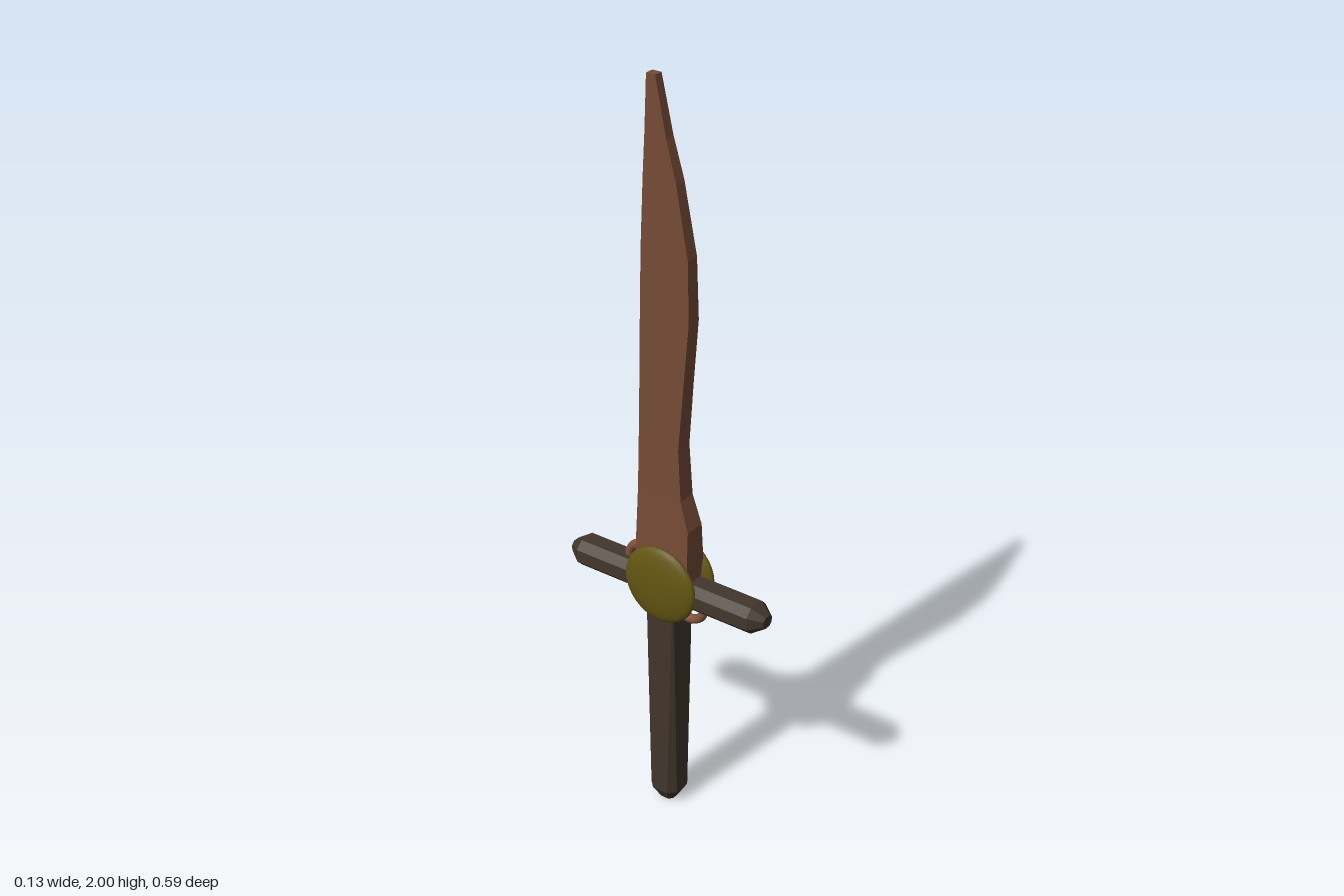
import * as THREE from 'three';

const material = (name, color, flatShading = true) => {
  const m = new THREE.MeshStandardMaterial({ color, flatShading });
  m.name = name;
  return m;
};

// Skins a stack of rings ({ y, ring: [[x, z], ...] }) and caps both ends.
function loft(sections) {
  const pos = [];
  const rings = sections.map(({ y, ring }) => ring.map(([x, z]) => [x, y, z]));
  const tri = (...pts) => pts.forEach((p) => pos.push(...p));
  const n = rings[0].length;
  for (let s = 0; s < rings.length - 1; s++) {
    for (let i = 0; i < n; i++) {
      const j = (i + 1) % n;
      const [a, b, c, d] = [rings[s][i], rings[s][j], rings[s + 1][j], rings[s + 1][i]];
      tri(a, b, c);
      tri(a, c, d);
    }
  }
  const bottom = rings[0], top = rings[rings.length - 1];
  for (let i = 1; i < n - 1; i++) {
    tri(bottom[0], bottom[i + 1], bottom[i]);
    tri(top[0], top[i], top[i + 1]);
  }
  const geo = new THREE.BufferGeometry();
  geo.setAttribute('position', new THREE.Float32BufferAttribute(pos, 3));
  geo.computeVertexNormals();
  return geo;
}

// Rectangle with its four corners cut off by c.
const chamfered = (hx, hz, c) => [
  [-hx + c, hz], [hx - c, hz], [hx, hz - c], [hx, -hz + c],
  [hx - c, -hz], [-hx + c, -hz], [-hx, -hz + c], [-hx, hz - c],
];

export function createModel() {
  const group = new THREE.Group();
  const copper = material('copper', 0x754a36);
  const wood = material('dark wood', 0x42362c);
  const brass = material('aged brass', 0x635512, false);
  const wire = material('copper wire', 0x80523c, false);

  const add = (name, geo, mat) => {
    const mesh = new THREE.Mesh(geo, mat);
    mesh.name = name;
    group.add(mesh);
    return mesh;
  };

  // Blade: height, front edge z, back edge z, half thickness
  const blade = [
    [0.69, 0.08, -0.08, 0.039],
    [0.86, 0.077, -0.078, 0.029],
    [0.94, 0.052, -0.077, 0.025],
    [1.08, 0.043, -0.075, 0.023],
    [1.25, 0.056, -0.073, 0.021],
    [1.42, 0.07, -0.071, 0.02],
    [1.58, 0.065, -0.069, 0.018],
    [1.76, 0.03, -0.063, 0.016],
    [1.86, 0.001, -0.059, 0.014],
    [2.0, -0.03, -0.055, 0.012],
  ];
  add('blade', loft(blade.map(([y, f, b, t]) => ({
    y, ring: [[-t, f], [t, f], [t, b], [-t, b]],
  }))), copper);

  // Grip: nearly square at the guard, eight-sided at the pommel
  add('grip', loft([
    { y: 0, ring: chamfered(0.021, 0.021, 0.01) },
    { y: 0.037, ring: chamfered(0.042, 0.042, 0.019) },
    { y: 0.66, ring: chamfered(0.042, 0.042, 0.002) },
  ]), wood);

  // Crossguard: eight-sided bar with bevelled ends
  const guard = loft([
    { y: -0.297, ring: chamfered(0.018, 0.016, 0.009) },
    { y: -0.262, ring: chamfered(0.042, 0.037, 0.02) },
    { y: 0.262, ring: chamfered(0.042, 0.037, 0.02) },
    { y: 0.297, ring: chamfered(0.018, 0.016, 0.009) },
  ]).rotateX(Math.PI / 2);
  add('crossguard', guard, wood).position.y = 0.675;

  // Domed discs on both sides of the guard
  for (const side of [-1, 1]) {
    const disc = new THREE.SphereGeometry(1, 32, 20).rotateZ(Math.PI / 2).scale(0.025, 0.106, 0.106);
    add(side > 0 ? 'leftDisc' : 'rightDisc', disc, brass).position.set(side * 0.041, 0.69, 0.002);
  }

  // Half rings above the back arm and below the front arm
  const loop = (name, y, z, flip) => {
    const geo = new THREE.TorusGeometry(0.046, 0.012, 10, 20, Math.PI).rotateY(Math.PI / 2);
    if (flip) geo.rotateX(Math.PI);
    add(name, geo, wire).position.set(0.003, y, z);
  };
  loop('backLoop', 0.71, -0.08, false);
  loop('frontLoop', 0.635, 0.06, true);

  return group;
}
